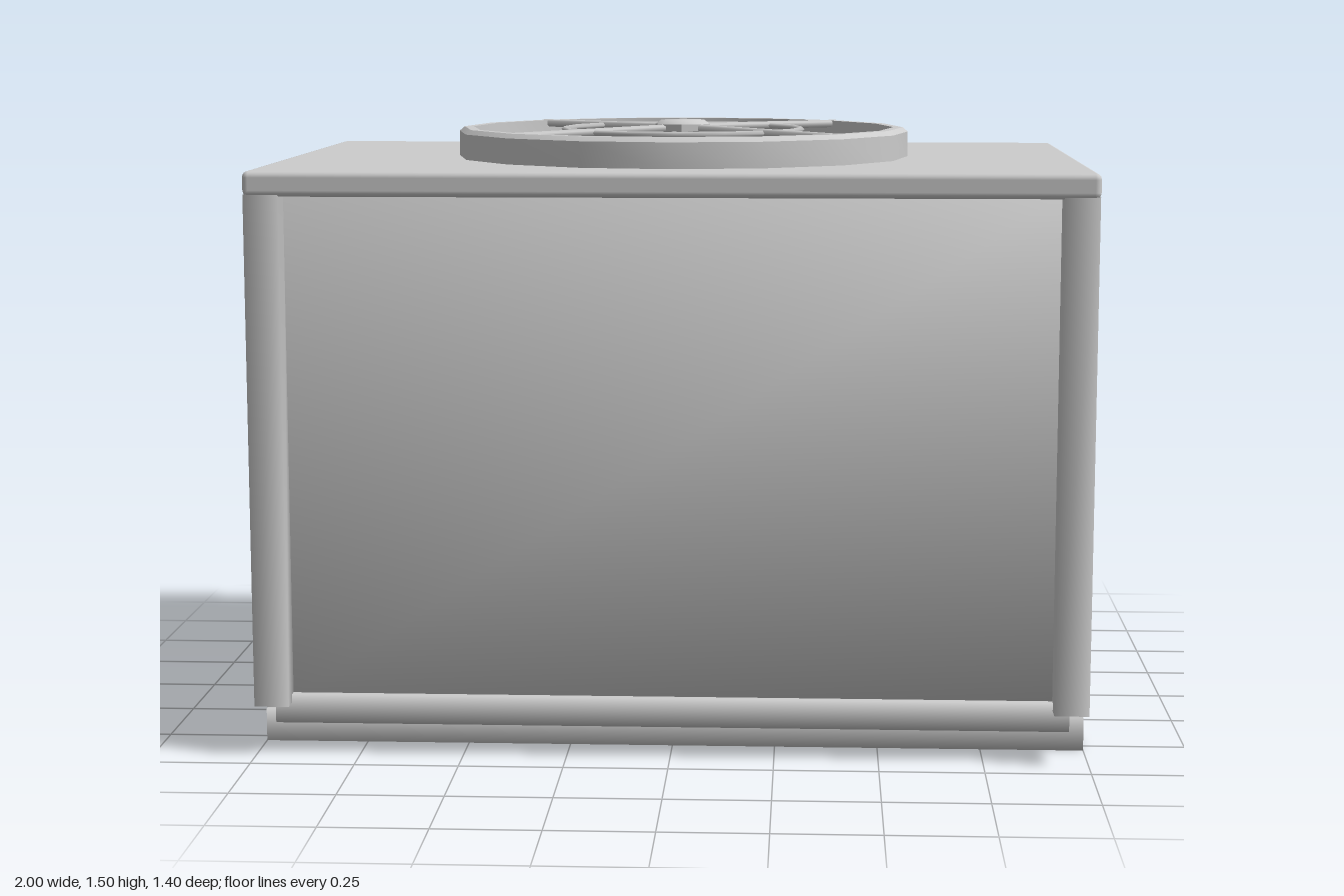
import * as THREE from 'three';
import { mergeVertices, toCreasedNormals } from 'three/addons/utils/BufferGeometryUtils.js';
import { RoundedBoxGeometry } from 'three/addons/geometries/RoundedBoxGeometry.js';

const metal = new THREE.MeshStandardMaterial({ color: 0xcccccc });
metal.name = 'grey metal';
const sheet = new THREE.MeshStandardMaterial({ color: 0xcccccc, side: THREE.DoubleSide });
sheet.name = 'grey sheet';

// Box given by its limits, with normals shared across the corners
function softBox(x0, x1, y0, y1, z0, z1) {
  let g = new THREE.BoxGeometry(x1 - x0, y1 - y0, z1 - z0);
  g.deleteAttribute('uv');
  g.deleteAttribute('normal');
  g = mergeVertices(g);
  g.computeVertexNormals();
  return g.translate((x0 + x1) / 2, (y0 + y1) / 2, (z0 + z1) / 2);
}

// Straight-segmented pipe through a few points
function pipe(points, radius, sides = 8) {
  const path = new THREE.CurvePath();
  const v = points.map((p) => new THREE.Vector3(...p));
  for (let i = 1; i < v.length; i++) path.add(new THREE.LineCurve3(v[i - 1], v[i]));
  return new THREE.TubeGeometry(path, 24, radius, sides, false);
}

function lathe(profile, sides) {
  const g = new THREE.LatheGeometry(profile.map((p) => new THREE.Vector2(...p)), sides);
  return toCreasedNormals(g, 0.7);
}

// Tapered blade pointing to -z, with more pitch towards the tip
function bladeGeometry() {
  const rows = [[0.05, 0.015, 0.015], [0.27, 0.055, 0.022], [0.49, 0.098, 0.028]];
  const pos = [], index = [];
  rows.forEach(([r, half, rise], i) => {
    pos.push(-half, 1.445 + rise, -r, half, 1.445 - rise, -r);
    if (i) {
      const a = 2 * i - 2;
      index.push(a, a + 1, a + 3, a, a + 3, a + 2);
    }
  });
  const g = new THREE.BufferGeometry();
  g.setAttribute('position', new THREE.Float32BufferAttribute(pos, 3));
  g.setIndex(index);
  g.computeVertexNormals();
  return g;
}

export function createModel() {
  const model = new THREE.Group();
  model.name = 'airConditioner';
  const add = (name, geometry, material = metal, parent = model) => {
    const m = new THREE.Mesh(geometry, material);
    m.name = name;
    parent.add(m);
    return m;
  };

  // Cabinet
  add('cabinet', softBox(-0.925, 0.925, 0.13, 1.36, -0.63, 0.63));
  add('baseTray', softBox(-0.955, 0.955, 0.075, 0.145, -0.65, 0.65));
  const lid = add('lid', new RoundedBoxGeometry(2, 0.06, 1.4, 2, 0.015));
  lid.position.y = 1.38;

  // Corner posts and skids
  for (const sz of [-1, 1]) {
    for (const sx of [-1, 1]) {
      const [x0, x1] = sx > 0 ? [0.915, 0.998] : [-0.998, -0.915];
      const [z0, z1] = sz > 0 ? [0.62, 0.695] : [-0.695, -0.62];
      add('cornerPost', softBox(x0, x1, 0.125, 1.355, z0, z1));
    }
    const c = sz * 0.482;
    add('skid', softBox(-1, 1, 0, 0.08, c - 0.06, c + 0.06));
  }

  // Fan guard
  const fan = new THREE.Group();
  fan.name = 'fan';
  model.add(fan);
  add('fanRing', lathe([[0.575, 1.4], [0.575, 1.473], [0.562, 1.484], [0.538, 1.484], [0.538, 1.4]], 16), sheet, fan);
  const wire = add('guardWire', new THREE.TorusGeometry(0.305, 0.007, 4, 16), metal, fan);
  wire.rotation.x = Math.PI / 2;
  wire.position.y = 1.478;
  for (let i = 0; i < 4; i++) {
    const a = Math.PI / 4 + i * Math.PI / 2, c = Math.cos(a), s = Math.sin(a);
    add('guardStrut', pipe([[c * 0.04, 1.482, s * 0.04], [c * 0.558, 1.476, s * 0.558]], 0.01, 6), metal, fan);
  }
  add('guardCap', lathe([[0, 1.474], [0.07, 1.474], [0.07, 1.492], [0.055, 1.502], [0, 1.504]], 8), metal, fan);

  // Hub and blades
  add('fanHub', lathe([[0.1, 1.405], [0.1, 1.435], [0.07, 1.455], [0, 1.462]], 8), metal, fan);
  const blade = bladeGeometry();
  for (let i = 0; i < 3; i++) {
    add('fanBlade', blade, sheet, fan).rotation.y = i * Math.PI * 2 / 3;
  }

  // Electrical disconnect with lever and conduit
  add('disconnectBox', softBox(0.915, 0.985, 0.72, 0.96, -0.49, -0.31));
  const lever = add('disconnectLever', softBox(-0.01, 0.01, -0.048, 0.048, -0.013, 0.013));
  lever.position.set(0.988, 0.865, -0.403);
  lever.rotation.x = -0.48;
  add('conduit', pipe([[0.955, 0.73, -0.397], [0.955, 0.36, -0.36], [0.925, 0.305, -0.302]], 0.013), sheet);

  // Refrigerant pipes bending into the cabinet
  add('thinPipe', pipe([[0.95, 0.02, 0.484], [0.95, 0.385, 0.484], [0.942, 0.393, 0.484], [0.9, 0.4, 0.484]], 0.011), sheet);
  add('thickPipe', pipe([[0.943, 0, 0.361], [0.943, 0.375, 0.361], [0.935, 0.384, 0.361], [0.88, 0.388, 0.361]], 0.026), sheet);
  const end = add('thickPipeEnd', new THREE.CircleGeometry(0.026, 8));
  end.rotation.x = Math.PI / 2;
  end.position.set(0.943, 0.001, 0.361);

  return model;
}
